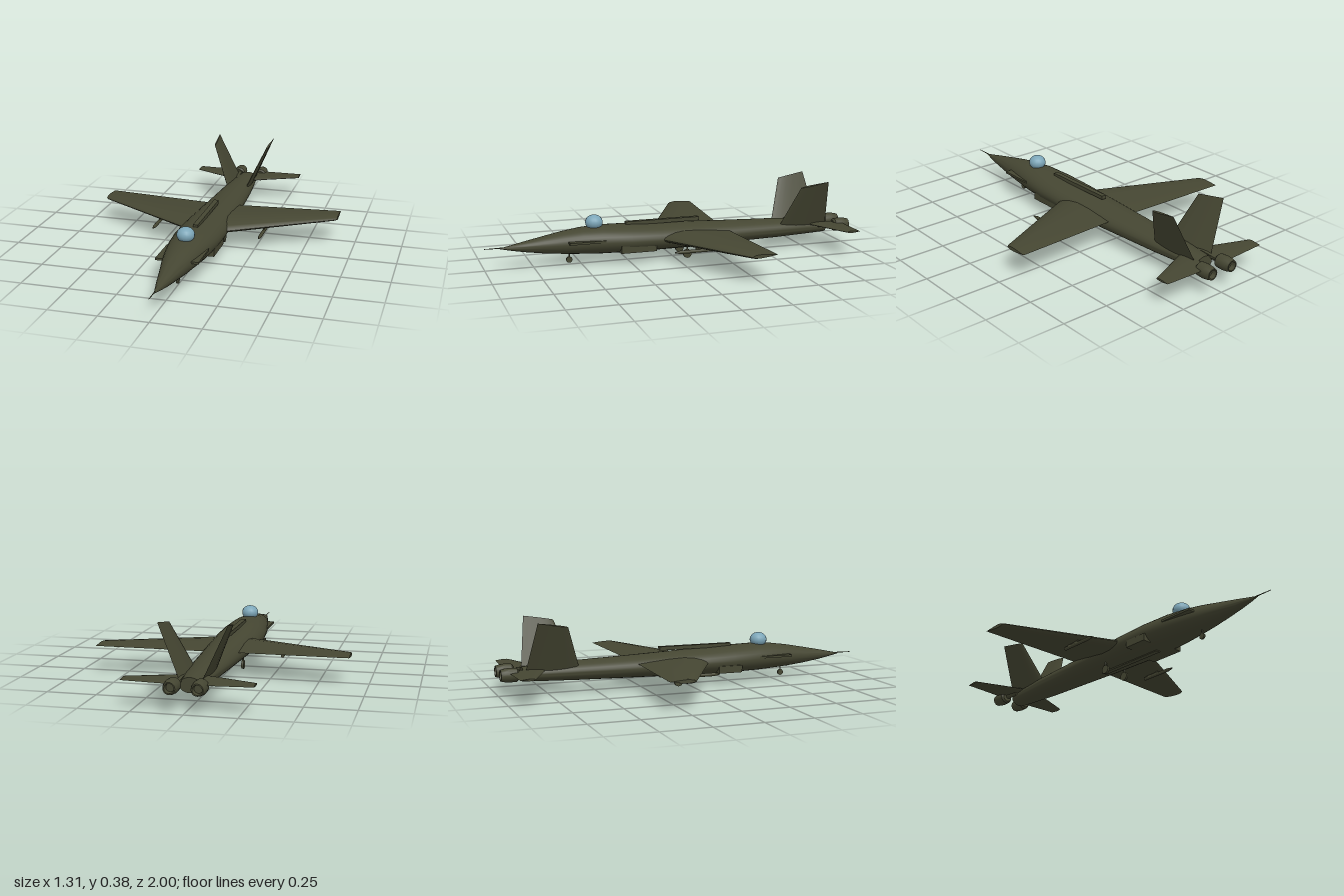
import * as THREE from 'three';
import { toCreasedNormals } from 'three/addons/utils/BufferGeometryUtils.js';

const V = (x, y, z) => new THREE.Vector3(x, y, z);

// Closed skin through equal-length rings (counter-clockwise seen from the last ring).
function loft(rings, crease = 0.7) {
  const n = rings[0].length, pos = [], idx = [];
  for (const ring of rings) for (const p of ring) pos.push(p.x, p.y, p.z);
  for (let i = 0; i < rings.length - 1; i++) {
    for (let j = 0; j < n; j++) {
      const a = i * n + j, b = i * n + (j + 1) % n;
      idx.push(a, b, b + n, a, b + n, a + n);
    }
  }
  const last = (rings.length - 1) * n;
  for (let j = 1; j < n - 1; j++) {
    idx.push(0, j + 1, j);
    idx.push(last, last + j, last + j + 1);
  }
  const g = new THREE.BufferGeometry();
  g.setAttribute('position', new THREE.Float32BufferAttribute(pos, 3));
  g.setIndex(idx);
  return toCreasedNormals(g, crease);
}

// Half thickness of an aerofoil at chord fractions from the leading edge.
const FOIL = [[0.02, 0.16], [0.08, 0.32], [0.2, 0.46], [0.35, 0.5], [0.6, 0.36], [0.85, 0.14]];

// Aerofoil surface; each section is [leading edge, trailing edge, thickness].
function panel(sections, side) {
  const span = sections[sections.length - 1][0].clone().sub(sections[0][0]);
  span.z = 0;
  span.normalize();
  const up = V(-span.y, span.x, 0);
  const rings = sections.map(([le, te, thick]) => {
    const at = (f, h) => le.clone().lerp(te, f).addScaledVector(up, h * thick);
    const ring = [
      at(1, 0),
      ...[...FOIL].reverse().map(([f, h]) => at(f, h)),
      at(0, 0),
      ...FOIL.map(([f, h]) => at(f, -h)),
    ];
    ring.forEach((p) => { p.x *= side; });
    return side < 0 ? ring.reverse() : ring;
  });
  return loft(rings);
}

export function createModel() {
  const model = new THREE.Group();
  const olive = new THREE.MeshStandardMaterial({ color: 0x454632 });
  olive.name = 'olive paint';
  const glass = new THREE.MeshStandardMaterial({ color: 0x7ca6b8 });
  glass.name = 'blue glass';

  const add = (name, geo, x = 0, y = 0, z = 0, mat = olive) => {
    const mesh = new THREE.Mesh(geo, mat);
    mesh.name = name;
    mesh.position.set(x, y, z);
    model.add(mesh);
    return mesh;
  };
  const box = (name, x, y, z, w, h, d) => add(name, new THREE.BoxGeometry(w, h, d), x, y, z);
  const rod = (name, x, y, z, rFront, rBack, len, seg = 12) =>
    add(name, new THREE.CylinderGeometry(rFront, rBack, len, seg).rotateX(Math.PI / 2), x, y, z);

  // Fuselage stations: z, half width, top, bottom
  const stations = [
    [-0.88, 0.052, 0.143, 0.07], [-0.75, 0.068, 0.152, 0.065], [-0.6, 0.082, 0.16, 0.06],
    [-0.3, 0.1, 0.17, 0.054], [-0.1, 0.112, 0.178, 0.05], [0.1, 0.122, 0.186, 0.048],
    [0.25, 0.121, 0.193, 0.047], [0.4, 0.106, 0.197, 0.049], [0.5, 0.09, 0.191, 0.054],
    [0.6, 0.072, 0.177, 0.061], [0.7, 0.05, 0.158, 0.071], [0.8, 0.03, 0.138, 0.085],
    [0.88, 0.012, 0.121, 0.1], [0.92, 0.002, 0.113, 0.109],
  ];
  add('fuselage', loft(stations.map(([z, w, top, bottom]) => {
    const ring = [];
    for (let i = 0; i < 32; i++) {
      const a = i / 32 * Math.PI * 2;
      ring.push(V(w * Math.cos(a), (top + bottom) / 2 + (top - bottom) / 2 * Math.sin(a), z));
    }
    return ring;
  })));
  rod('noseProbe', 0, 0.114, 0.955, 0.0015, 0.003, 0.09, 8);

  // Canopy bubble
  const dome = new THREE.SphereGeometry(0.046, 16, 10, 0, Math.PI * 2, 0, Math.PI * 0.75);
  dome.scale(1, 0.85, 1);
  add('canopy', dome, 0, 0.215, 0.428, glass);

  // Spine and belly rails
  box('spineRail', 0, 0.196, 0.057, 0.026, 0.02, 0.405);
  box('bellyRail', 0, 0.052, 0.057, 0.026, 0.018, 0.405);

  // Nose gear
  const wheel = (name, x, y, z, r, w) =>
    add(name, new THREE.CylinderGeometry(r, r, w, 18).rotateZ(Math.PI / 2), x, y, z);
  wheel('noseWheel', 0, 0.025, 0.563, 0.016, 0.01);
  add('noseStrut', new THREE.CylinderGeometry(0.004, 0.004, 0.05, 8), 0, 0.05, 0.563);

  // Exhaust nozzle profile, hollow at the back
  const nozzle = [[0, 0.045], [0.026, 0.045], [0.035, 0.036], [0.037, 0], [0.034, -0.025],
    [0.029, -0.045], [0.023, -0.045], [0.02, -0.02], [0, -0.02]]
    .map(([r, y]) => new THREE.Vector2(r, y)).reverse();

  for (const s of [1, -1]) {
    const side = s > 0 ? 'left' : 'right';

    // Flying surfaces
    add(side + 'Wing', panel([
      [V(0.06, 0.118, 0.115), V(0.06, 0.135, -0.29), 0.062],
      [V(0.645, 0.139, -0.185), V(0.645, 0.143, -0.324), 0.024],
      [V(0.655, 0.14, -0.194), V(0.655, 0.143, -0.323), 0.018],
    ], s));
    add(side + 'Tailplane', panel([
      [V(0.04, 0.128, -0.765), V(0.04, 0.128, -0.96), 0.02],
      [V(0.31, 0.132, -0.878), V(0.31, 0.132, -0.953), 0.011],
    ], s));
    add(side + 'Fin', panel([
      [V(0.055, 0.13, -0.595), V(0.055, 0.13, -0.87), 0.02],
      [V(0.154, 0.355, -0.675), V(0.166, 0.381, -0.83), 0.011],
    ], s));

    // Engine nozzle and its stem
    const lathe = new THREE.LatheGeometry(nozzle, 20).rotateX(Math.PI / 2);
    add(side + 'Nozzle', toCreasedNormals(lathe, 0.6), s * 0.065, 0.117, -0.955);
    rod(side + 'NozzleStem', s * 0.06, 0.12, -0.875, 0.013, 0.013, 0.09);

    // Side strake and lower fairing
    box(side + 'Strake', s * 0.085, 0.132, 0.485, 0.05, 0.011, 0.19);
    box(side + 'Fairing', s > 0 ? 0.09 : -0.1, 0.081, 0.215, 0.045, 0.038, s > 0 ? 0.19 : 0.13);

    // Underwing gun pod
    rod(side + 'Pod', s * 0.29, 0.094, -0.04, 0.009, 0.009, 0.18);
    rod(side + 'PodTip', s * 0.29, 0.094, 0.065, 0.003, 0.009, 0.03);
    box(side + 'Pylon', s * 0.29, 0.11, -0.07, 0.006, 0.025, 0.08);

    // Main gear
    wheel(side + 'MainWheel', s * 0.067, 0.023, -0.062, 0.023, 0.012);
    add(side + 'MainStrut', new THREE.CylinderGeometry(0.005, 0.005, 0.06, 8), s * 0.067, 0.055, -0.062);
  }
  return model;
}
